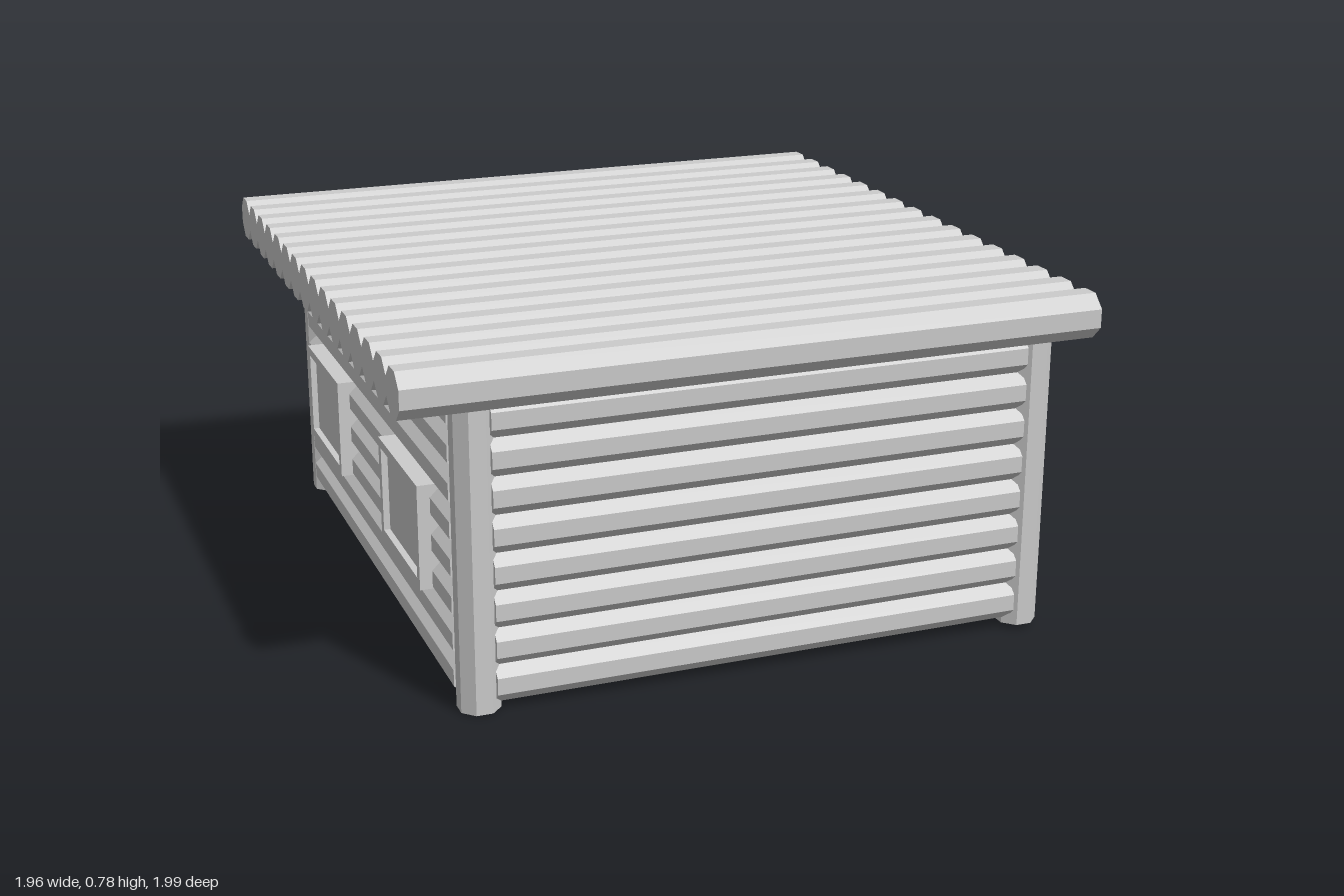
import * as THREE from 'three';

const material = new THREE.MeshStandardMaterial({ color: 0xcccccc, flatShading: true });

function add(parent, name, geometry, x = 0, y = 0, z = 0) {
  const mesh = new THREE.Mesh(geometry, material);
  mesh.name = name;
  mesh.position.set(x, y, z);
  parent.add(mesh);
  return mesh;
}

// Eight-sided log with flat sides facing the axes; half is the distance from axis to flat
function logGeometry(half, length, axis) {
  const g = new THREE.CylinderGeometry(half / Math.cos(Math.PI / 8), half / Math.cos(Math.PI / 8), length, 8);
  g.rotateY(Math.PI / 8);
  if (axis === 'x') g.rotateZ(Math.PI / 2);
  if (axis === 'z') g.rotateX(Math.PI / 2);
  return g;
}

// Framed panel with a recessed pane, facing +z
function framedPanel(name, w, h, border) {
  const group = new THREE.Group();
  group.name = name;
  const depth = 0.056;
  const outline = new THREE.Shape([[-w, -h], [w, -h], [w, h], [-w, h]].map(([x, y]) => new THREE.Vector2(x / 2, y / 2)));
  const a = w / 2 - border, b = h / 2 - border;
  outline.holes.push(new THREE.Path([[-a, -b], [-a, b], [a, b], [a, -b]].map(([x, y]) => new THREE.Vector2(x, y))));
  add(group, name + 'Frame', new THREE.ExtrudeGeometry(outline, { depth, bevelEnabled: false }));
  add(group, name + 'Pane', new THREE.BoxGeometry(a * 2, b * 2, 0.042), 0, 0, 0.021);
  return group;
}

// Planter trough with a sloping front; outward is +z, length along x
function planter(length) {
  const group = new THREE.Group();
  group.name = 'planter';
  const extrude = (points, depth) => {
    const g = new THREE.ExtrudeGeometry(new THREE.Shape(points.map(([x, y]) => new THREE.Vector2(x, y))), { depth, bevelEnabled: false });
    return g.rotateY(-Math.PI / 2).translate(depth / 2, 0, 0);
  };
  add(group, 'trough', extrude([
    [0, 0], [0.09, 0], [0.155, 0.115], [0.155, 0.145], [0.14, 0.145],
    [0.135, 0.115], [0.105, 0.06], [0.03, 0.06], [0.03, 0.145], [0, 0.145],
  ], length));
  const end = [[0, 0], [0.09, 0], [0.155, 0.115], [0.155, 0.145], [0, 0.145]];
  for (const s of [-1, 1]) add(group, 'troughEnd', extrude(end, 0.015), s * (length / 2 - 0.0075), 0, 0);
  return group;
}

export function createModel() {
  const model = new THREE.Group();
  model.name = 'logCabin';
  const cabin = new THREE.Group();
  cabin.name = 'cabin';
  // The cabin is turned and leans very slightly
  cabin.rotation.set(0.0165, -0.36, 0.009, 'YXZ');
  model.add(cabin);

  const cx = 0.025, cz = 0.024, hx = 0.6125, hz = 0.667;

  // Corner posts
  for (const sx of [-1, 1]) for (const sz of [-1, 1]) {
    add(cabin, 'cornerPost', logGeometry(0.042, 0.66, 'y'), cx + sx * hx, 0.35, cz + sz * hz);
  }

  // Stacked wall logs
  const longLog = logGeometry(0.043, 2 * (hz - 0.028), 'z');
  const shortLog = logGeometry(0.043, 2 * (hx - 0.028), 'x');
  for (let i = 0; i < 8; i++) {
    const y = 0.076 + i * 0.08;
    for (const s of [-1, 1]) {
      add(cabin, 'sideWallLog', longLog, cx + s * hx, y, cz);
      add(cabin, s > 0 ? 'frontWallLog' : 'backWallLog', shortLog, cx, y, cz + s * hz);
    }
  }

  // Roof logs
  const roofLog = logGeometry(0.0488, 1.506, 'x');
  for (let i = 0; i < 16; i++) {
    add(cabin, 'roofLog', roofLog, 0.006, 0.712, -0.012 + (i - 7.5) * 0.0975);
  }

  // Two windows on each side wall
  for (const s of [-1, 1]) for (const z of [-0.343, 0.362]) {
    const w = framedPanel('window', 0.318, 0.228, 0.02);
    w.position.set(cx + s * (hx + 0.014), 0.328, z);
    w.rotation.y = s * Math.PI / 2;
    cabin.add(w);
  }

  // Back door
  const door = framedPanel('door', 0.28, 0.475, 0.028);
  door.position.set(-0.29, 0.2325, cz - hz - 0.014);
  door.rotation.y = Math.PI;
  cabin.add(door);

  // Planters along the back wall
  for (const x of [0.097, 0.424]) {
    const p = planter(0.325);
    p.position.set(x, 0.036, cz - hz - 0.02);
    p.rotation.y = Math.PI;
    cabin.add(p);
  }
  return model;
}
